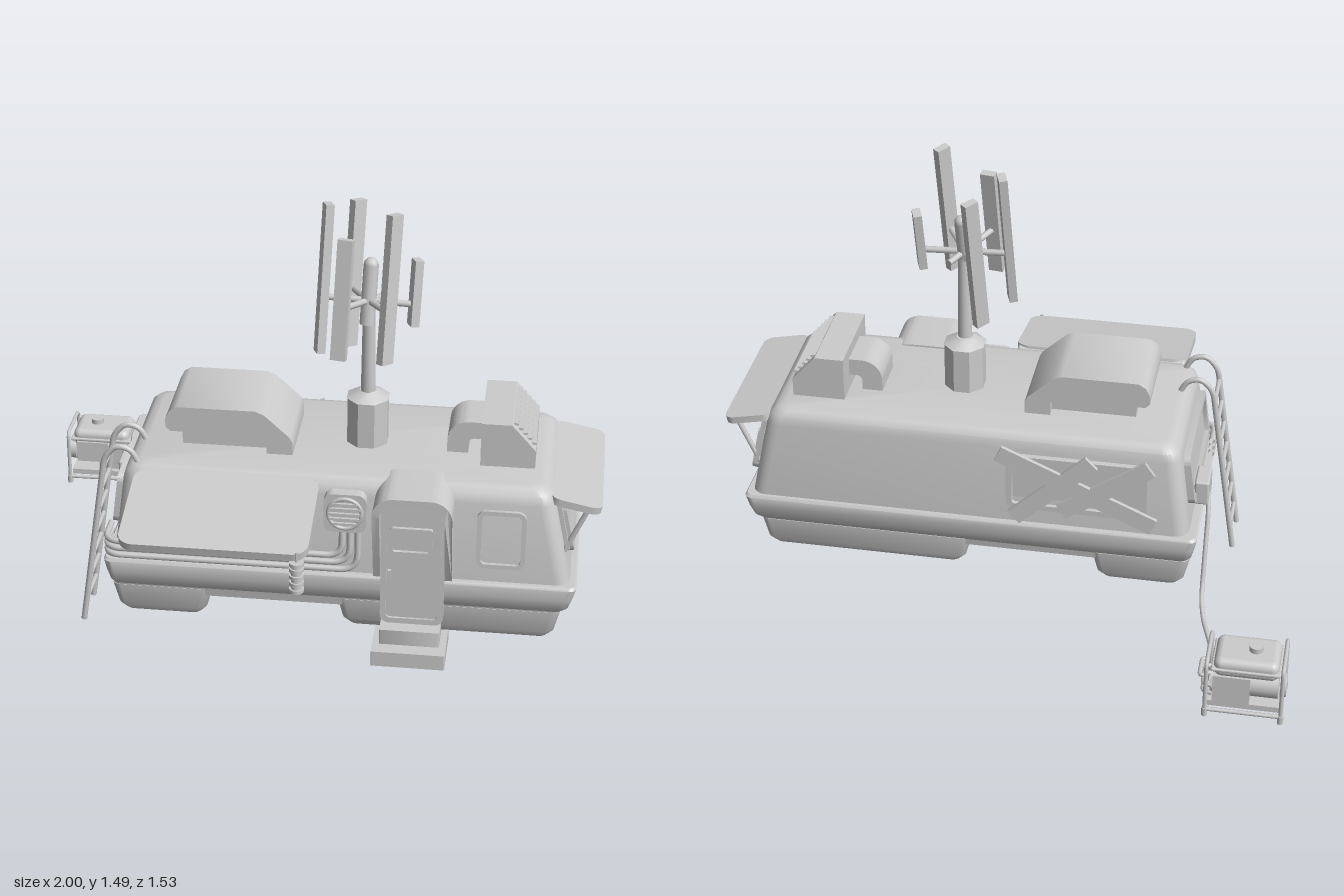
import * as THREE from 'three';
import { toCreasedNormals } from 'three/addons/utils/BufferGeometryUtils.js';
import { RoundedBoxGeometry } from 'three/addons/geometries/RoundedBoxGeometry.js';

const mat = new THREE.MeshStandardMaterial({ color: 0xcccccc, side: THREE.DoubleSide });
const V = (x, y, z) => new THREE.Vector3(x, y, z);

function add(parent, name, geo, x = 0, y = 0, z = 0, rx = 0, ry = 0, rz = 0) {
  const m = new THREE.Mesh(geo, mat);
  m.name = name;
  m.position.set(x, y, z);
  m.rotation.set(rx, ry, rz);
  parent.add(m);
}
function sub(parent, name, x = 0, y = 0, z = 0, rx = 0, ry = 0, rz = 0) {
  const g = new THREE.Group();
  g.name = name;
  g.position.set(x, y, z);
  g.rotation.set(rx, ry, rz, 'ZYX');
  parent.add(g);
  return g;
}
const box = (w, h, d) => new THREE.BoxGeometry(w, h, d);
const cyl = (r0, r1, h, n = 16) => new THREE.CylinderGeometry(r0, r1, h, n);

// Stacks rounded rectangles: each level is [y, x0, x1, z0, z1, radius]
function loft(levels, seg = 6) {
  const pos = [], idx = [], n = 4 * (seg + 1);
  for (const [y, x0, x1, z0, z1, r] of levels)
    for (let c = 0; c < 4; c++)
      for (let i = 0; i <= seg; i++) {
        const a = (c + i / seg) * Math.PI / 2;
        const cx = c === 0 || c === 3 ? x1 - r : x0 + r, cz = c < 2 ? z1 - r : z0 + r;
        pos.push(cx + r * Math.cos(a), y, cz + r * Math.sin(a));
      }
  const top = levels.length - 1;
  for (const k of [0, top]) {
    const [y, x0, x1, z0, z1] = levels[k];
    pos.push((x0 + x1) / 2, y, (z0 + z1) / 2);
  }
  for (let i = 0; i < n; i++) {
    const j = (i + 1) % n;
    for (let k = 0; k < top; k++) {
      const a = k * n + i, c = k * n + j;
      idx.push(a, a + n, c, c, a + n, c + n);
    }
    idx.push(levels.length * n, i, j, levels.length * n + 1, top * n + j, top * n + i);
  }
  const g = new THREE.BufferGeometry();
  g.setAttribute('position', new THREE.Float32BufferAttribute(pos, 3));
  g.setIndex(idx);
  return toCreasedNormals(g, 0.6);
}
const slab = (x0, x1, z0, z1, h, r) => loft([[0, x0, x1, z0, z1, r], [h, x0, x1, z0, z1, r]]);

// Rounded rectangle path, r at the top corners and rb at the bottom ones
function roundRect(path, x0, x1, y0, y1, r, rb = r) {
  path.moveTo(x0 + rb, y0).lineTo(x1 - rb, y0);
  if (rb) path.absarc(x1 - rb, y0 + rb, rb, -Math.PI / 2, 0);
  path.lineTo(x1, y1 - r).absarc(x1 - r, y1 - r, r, 0, Math.PI / 2);
  path.lineTo(x0 + r, y1).absarc(x0 + r, y1 - r, r, Math.PI / 2, Math.PI);
  path.lineTo(x0, y0 + rb);
  if (rb) path.absarc(x0 + rb, y0 + rb, rb, Math.PI, Math.PI * 1.5);
  return path;
}
const extrude = (shape, depth) => toCreasedNormals(
  new THREE.ExtrudeGeometry(shape, { depth, bevelEnabled: false, curveSegments: 8 }), 0.6);
const plate = (w, h, r, d) => extrude(roundRect(new THREE.Shape(), -w / 2, w / 2, -h / 2, h / 2, r), d);
function ring(w, h, r, t, d) {
  const s = roundRect(new THREE.Shape(), -w / 2, w / 2, -h / 2, h / 2, r);
  s.holes.push(roundRect(new THREE.Path(), t - w / 2, w / 2 - t, t - h / 2, h / 2 - t, Math.max(r - t, 0.004)));
  return extrude(s, d);
}
const profile = (pts, d) => extrude(new THREE.Shape(pts.map(p => new THREE.Vector2(...p))), d);

// Tube along straight runs with rounded bends
function pipe(points, r, bend = 0.03, seg = 70) {
  const p = points.map(q => V(...q)), path = new THREE.CurvePath();
  let last = p[0];
  for (let i = 1; i < p.length - 1; i++) {
    const b = Math.min(bend, p[i].distanceTo(p[i - 1]) * 0.45, p[i].distanceTo(p[i + 1]) * 0.45);
    const a = p[i].clone().add(p[i - 1].clone().sub(p[i]).setLength(b));
    const c = p[i].clone().add(p[i + 1].clone().sub(p[i]).setLength(b));
    path.add(new THREE.LineCurve3(last, a));
    path.add(new THREE.QuadraticBezierCurve3(a, p[i], c));
    last = c;
  }
  path.add(new THREE.LineCurve3(last, p[p.length - 1]));
  return new THREE.TubeGeometry(path, p.length > 2 ? seg : 1, r, 8, false);
}
function windowUnit(parent, name, w, h, t, ...place) {
  const g = sub(parent, name, ...place);
  add(g, 'windowFrame', ring(w, h, 0.03, t, 0.03), 0, 0, -0.01);
  add(g, 'windowPane', plate(w - t, h - t, 0.02, 0.015), 0, 0, -0.01);
}

export function createModel() {
  const model = new THREE.Group();
  model.name = 'camperHome';

  // Shell, belt and underbody
  add(model, 'upperBody', loft([[0.27, -0.615, 0.915, -0.205, 0.41, 0.05], [0.58, -0.575, 0.85, -0.195, 0.397, 0.05],
    [0.612, -0.565, 0.838, -0.188, 0.388, 0.05], [0.63, -0.545, 0.815, -0.17, 0.37, 0.04], [0.636, -0.52, 0.79, -0.145, 0.345, 0.03]]));
  add(model, 'beltBumper', loft([[0.185, -0.61, 0.885, -0.19, 0.4, 0.03], [0.21, -0.625, 0.908, -0.212, 0.422, 0.03],
    [0.25, -0.635, 0.922, -0.222, 0.43, 0.03], [0.288, -0.642, 0.932, -0.222, 0.43, 0.025], [0.297, -0.636, 0.926, -0.216, 0.424, 0.025]]));
  add(model, 'lowerHull', loft([[0.165, -0.61, 0.87, -0.19, 0.405, 0.03], [0.2, -0.62, 0.885, -0.195, 0.41, 0.03]]));
  for (const [x0, x1] of [[-0.62, -0.28], [0.14, 0.885]])
    add(model, 'underbodyBlock', loft([[0.078, x0 + 0.06, x1 - 0.06, -0.16, 0.37, 0.03], [0.085, x0 + 0.04, x1 - 0.04, -0.18, 0.39, 0.03],
      [0.11, x0 + 0.02, x1 - 0.02, -0.195, 0.405, 0.03], [0.19, x0, x1, -0.197, 0.41, 0.03]]));
  add(model, 'chassisBeam', box(0.48, 0.08, 0.36), -0.07, 0.14, 0.1);

  // Windows, leaning with their walls
  windowUnit(model, 'frontWindow', 0.5, 0.2, 0.02, -0.21, 0.46, 0.4, -0.04);
  windowUnit(model, 'smallFrontWindow', 0.16, 0.21, 0.015, 0.68, 0.455, 0.395, -0.04);
  windowUnit(model, 'endWindow', 0.46, 0.19, 0.025, 0.88, 0.452, 0.075, 0, Math.PI / 2, 0.21);
  windowUnit(model, 'ladderEndWindow', 0.46, 0.19, 0.025, -0.593, 0.47, 0.1, 0, -Math.PI / 2, -0.13);
  windowUnit(model, 'backWindow', 0.48, 0.21, 0.02, -0.23, 0.46, -0.196, 0, Math.PI, 0);

  // Planks nailed across the back window
  for (const [x, y, len, a] of [[-0.23, 0.46, 0.58, 0.42], [-0.15, 0.45, 0.36, -0.75], [-0.33, 0.47, 0.36, -0.6]])
    add(model, 'backPlank', box(len, 0.06, 0.014), x, y, -0.224, 0, 0, a);

  // Front awning with hanging lantern
  const awning = sub(model, 'frontAwning', -0.22, 0.605, 0.385, 0.22);
  add(awning, 'awningSheet', slab(-0.305, 0.305, 0, 0.362, 0.028, 0.05));
  add(model, 'awningRail', new RoundedBoxGeometry(0.6, 0.04, 0.04, 2, 0.012), -0.22, 0.605, 0.405);
  const lamp = sub(model, 'lantern', 0.052, 0.47, 0.74);
  add(lamp, 'lampBody', cyl(0.018, 0.018, 0.09));
  for (const y of [-0.045, -0.02, 0.005, 0.03, 0.05]) add(lamp, 'lampRib', cyl(0.024, 0.024, 0.012), 0, y);
  add(lamp, 'lampHook', cyl(0.005, 0.005, 0.04, 6), 0, 0.07);

  // End awning and struts
  add(model, 'endAwning', slab(0, 0.172, -0.17, 0.375, 0.025, 0.035), 0.828, 0.582, 0, 0, 0, -0.2);
  for (const z of [-0.152, 0.355]) {
    add(model, 'awningStrut', pipe([[0.885, 0.4, z], [0.955, 0.56, z]], 0.009));
    add(model, 'strutRail', box(0.014, 0.17, 0.018), 0.878, 0.49, z, 0, 0, 0.21);
  }

  // Door, tapered porch and steps
  const arch = roundRect(new THREE.Shape(), 0.265, 0.525, 0.3, 0.642, 0.07, 0);
  arch.holes.push(roundRect(new THREE.Path(), 0.289, 0.501, 0.301, 0.616, 0.05, 0));
  const porch = new THREE.ExtrudeGeometry(arch, { depth: 1, bevelEnabled: false, curveSegments: 8 });
  const p = porch.attributes.position;
  for (let i = 0; i < p.count; i++) {
    const front = 0.43 + 0.085 * Math.min(1, (p.getY(i) - 0.3) / 0.27);
    p.setZ(i, p.getZ(i) > 0.5 ? front : 0.31);
  }
  add(model, 'porchHood', toCreasedNormals(porch, 0.6));
  const door = sub(model, 'door', 0.395, 0, 0.41);
  add(door, 'doorPanel', plate(0.21, 0.49, 0.03, 0.03), 0, 0.375);
  add(door, 'doorTrim', ring(0.19, 0.46, 0.025, 0.01, 0.008), 0, 0.375, 0.03);
  add(door, 'doorWindow', ring(0.14, 0.1, 0.01, 0.012, 0.012), -0.005, 0.45, 0.03);
  add(door, 'doorHandle', box(0.01, 0.04, 0.015), -0.075, 0.32, 0.04);
  for (const [w, d, y, z] of [[0.245, 0.2, 0.015, 0.43], [0.2, 0.15, 0.07, 0.405]]) {
    add(model, 'stepFrame', ring(w, d, 0.004, 0.02, 0.055), 0.392, y, z, -Math.PI / 2);
    add(model, 'stepTread', box(w - 0.01, 0.012, d - 0.01), 0.392, y + 0.048, z);
  }

  // Pipes and round wall vent
  for (let i = 0; i < 3; i++) {
    const y = 0.312 + i * 0.026, x = 0.212 - i * 0.026;
    add(model, 'wallPipe', pipe([[-0.635, y, 0.3], [-0.635, y, 0.418], [x, y, 0.418], [x, 0.48, 0.412]], 0.011, 0.06));
  }
  const vent = sub(model, 'wallVent', 0.17, 0.53, 0.39);
  add(vent, 'ventPlate', plate(0.14, 0.14, 0.03, 0.04));
  add(vent, 'ventRing', new THREE.TorusGeometry(0.055, 0.007, 8, 28), 0, 0, 0.04);
  for (let i = -2; i <= 2; i++)
    add(vent, 'ventSlat', box(2 * Math.sqrt(0.0029 - (i * 0.018) ** 2), 0.008, 0.012), 0, i * 0.018, 0.043);

  // Roof cooler
  add(model, 'coolerBase', box(0.3, 0.08, 0.22), -0.25, 0.665, 0.1);
  add(model, 'coolerCowl', profile([[-0.45, 0.715], [-0.435, 0.7], [-0.13, 0.7], [-0.112, 0.685], [-0.112, 0.632], [-0.025, 0.632],
    [-0.025, 0.68], [-0.035, 0.7], [-0.12, 0.778], [-0.15, 0.79], [-0.41, 0.79], [-0.435, 0.775], [-0.45, 0.745]], 0.3), 0, 0, -0.05);

  // Louvred roof box and its elbow duct
  add(model, 'louvreBox', profile([[0.595, 0.63], [0.775, 0.63], [0.775, 0.7], [0.695, 0.79], [0.595, 0.79]], 0.32), 0, 0, -0.078);
  for (let i = 0; i < 5; i++)
    add(model, 'louvreSlat', box(0.02, 0.008, 0.27), 0.705 + i * 0.015, 0.783 - i * 0.017, 0.082);
  const duct = new THREE.Shape().moveTo(0.48, 0.63).lineTo(0.48, 0.68);
  duct.absarc(0.55, 0.68, 0.07, Math.PI, Math.PI / 2, true).lineTo(0.6, 0.75).lineTo(0.6, 0.69);
  duct.lineTo(0.57, 0.69).absarc(0.57, 0.67, 0.02, Math.PI / 2, Math.PI).lineTo(0.55, 0.63);
  add(model, 'roofDuct', extrude(duct, 0.16));

  // Wind turbine: one blade lost, one snapped short, one clipped
  const turbine = sub(model, 'windTurbine', 0.21, 0, 0.105);
  add(turbine, 'turbineBase', toCreasedNormals(cyl(0.072, 0.072, 0.18, 8), 0.5), 0, 0.71, 0, 0, Math.PI / 8);
  add(turbine, 'baseCollar', toCreasedNormals(cyl(0.03, 0.075, 0.025, 8), 0.5), 0, 0.812, 0, 0, Math.PI / 8);
  add(turbine, 'mast', cyl(0.02, 0.025, 0.36), 0, 0.98, 0.005);
  const rotor = sub(turbine, 'rotor', -0.002, 1.15, 0.005, -0.16, 0, -0.04);
  add(rotor, 'hub', cyl(0.025, 0.025, 0.2, 12), 0, 0.02);
  add(rotor, 'hubCap', new THREE.SphereGeometry(0.025, 12, 8), 0, 0.12);
  // [heading in degrees, blade bottom, blade top]
  for (const [deg, lo, hi] of [[0, -0.07, 0.15], [-60, -0.17, 0.325], [-120, -0.17, 0.23], [180, -0.19, 0.31], [116, -0.2, 0.3], [60, 0, 0]]) {
    const arm = sub(rotor, 'rotorArm', 0, 0, 0, 0, deg * Math.PI / 180);
    const len = hi ? 0.145 : 0.08;
    add(arm, 'armRod', cyl(0.011, 0.011, len, 8), len / 2, 0, 0, 0, 0, Math.PI / 2);
    if (hi) add(arm, 'blade', box(0.028, hi - lo, 0.05), 0.15, (hi + lo) / 2, 0, 0, 0.35);
  }

  // Hooked ladder
  for (const z of [0.19, 0.345])
    add(model, 'ladderRail', pipe([[-0.735, 0.002, z], [-0.64, 0.64, z], [-0.6, 0.685, z], [-0.55, 0.675, z], [-0.525, 0.625, z]], 0.01, 0.04));
  for (let i = 0; i < 7; i++)
    add(model, 'ladderRung', cyl(0.008, 0.008, 0.155, 8), -0.722 + i * 0.0126, 0.085 + i * 0.085, 0.268, Math.PI / 2);

  // Power socket and cable
  add(model, 'socketBox', new RoundedBoxGeometry(0.05, 0.09, 0.11, 2, 0.008), -0.64, 0.4, -0.03);
  add(model, 'powerCable', pipe([[-0.662, 0.39, -0.05], [-0.667, 0.34, -0.09], [-0.667, 0.1, -0.19], [-0.67, 0.06, -0.23], [-0.685, 0.035, -0.3],
    [-0.73, 0.032, -0.45], [-0.755, 0.05, -0.52], [-0.77, 0.14, -0.55], [-0.775, 0.16, -0.585]], 0.008, 0.03, 90));

  // Generator in a tube frame
  const gen = sub(model, 'generator', -0.86, 0, -0.667);
  for (const x of [-0.125, 0.12])
    add(gen, 'frameHoop', pipe([[x, 0.025, -0.09], [x, 0.215, -0.09], [x, 0.215, 0.09], [x, 0.025, 0.09]], 0.007));
  for (const z of [-0.09, 0.09]) {
    add(gen, 'frameRail', pipe([[-0.13, 0.03, z], [0.125, 0.03, z]], 0.007));
    for (const x of [-0.125, 0.12]) add(gen, 'foot', cyl(0.01, 0.01, 0.03, 8), x, 0.02, z);
  }
  add(gen, 'fuelTank', new RoundedBoxGeometry(0.21, 0.07, 0.155, 3, 0.025), -0.005, 0.185, 0);
  add(gen, 'tankSeam', new RoundedBoxGeometry(0.225, 0.012, 0.165, 2, 0.005), -0.005, 0.183, 0);
  add(gen, 'fuelCap', cyl(0.023, 0.023, 0.02), -0.03, 0.228, 0);
  add(gen, 'controlPanel', box(0.19, 0.08, 0.02), 0, 0.135, 0.075);
  add(gen, 'engineBlock', box(0.12, 0.11, 0.12), 0.04, 0.095, -0.01);
  add(gen, 'alternator', cyl(0.048, 0.048, 0.22, 20), 0, 0.1, -0.01, 0, 0, Math.PI / 2);
  add(gen, 'engineBase', box(0.24, 0.02, 0.14), 0, 0.04, 0);
  for (const x of [0.03, 0.085]) add(gen, 'outlet', cyl(0.017, 0.017, 0.02), x, 0.157, 0.088, Math.PI / 2);
  add(gen, 'carryHandle', pipe([[0.12, 0.13, -0.045], [0.145, 0.13, -0.045], [0.145, 0.13, 0.04], [0.12, 0.13, 0.04]], 0.007));
  for (const y of [0.08, 0.11]) add(gen, 'exhaustPipe', pipe([[0.1, y, -0.07], [0.132, y, -0.06], [0.132, y, 0.03], [0.1, y, 0.04]], 0.007));
  add(gen, 'recoilStarter', cyl(0.04, 0.04, 0.02, 20), -0.125, 0.1, -0.01, 0, 0, Math.PI / 2);
  return model;
}
